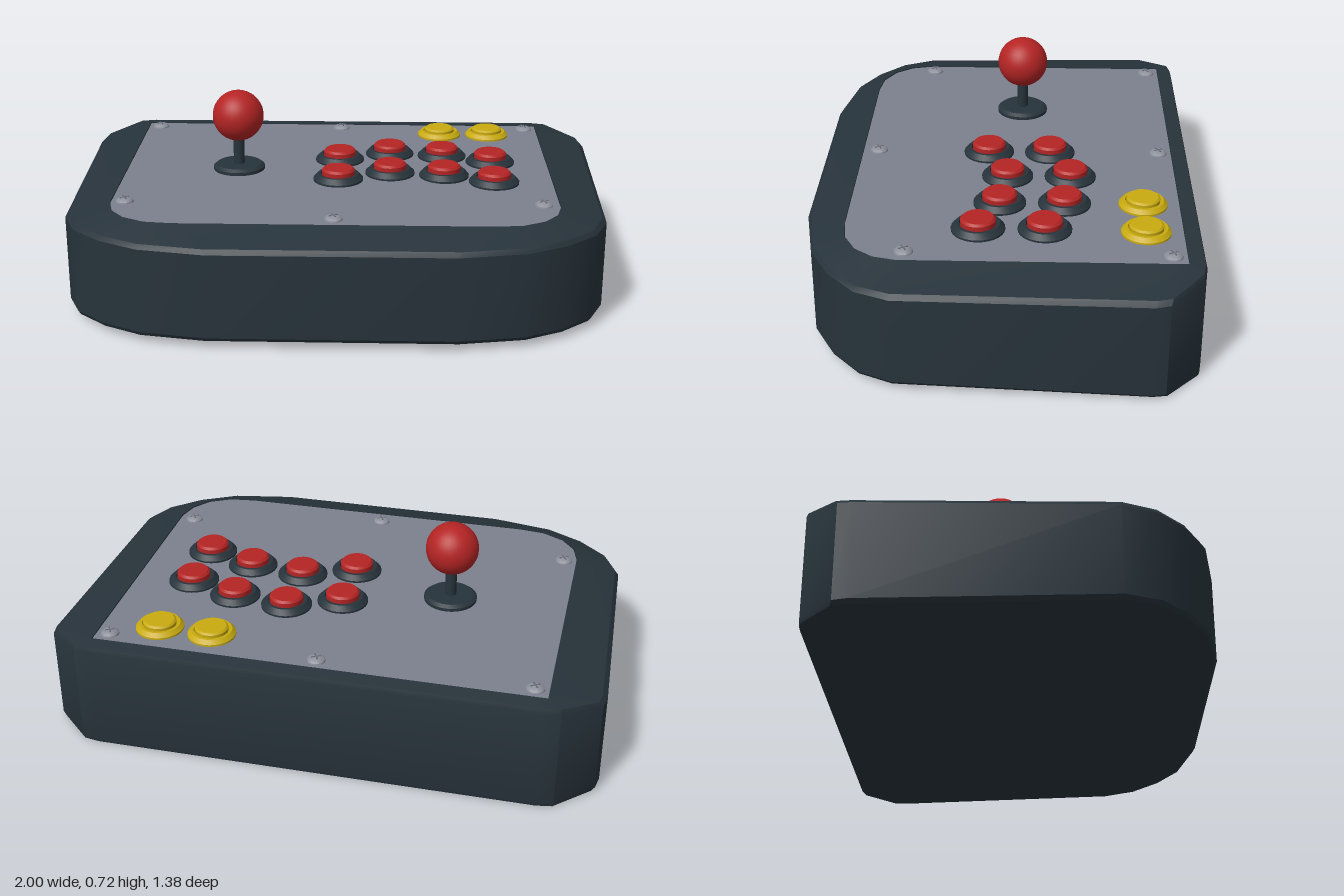
import * as THREE from 'three';
import { toCreasedNormals } from 'three/addons/utils/BufferGeometryUtils.js';

const mat = (name, color) => {
  const m = new THREE.MeshStandardMaterial({ color });
  m.name = name;
  return m;
};

// Half outlines from back to front: [x, z, wall height] and the matching plate edge
const OUTER = [[0.8, -0.69, 0.4], [0.86, -0.68, 0.398], [0.99, -0.56, 0.375], [1, -0.51, 0.372], [0.973, 0.35, 0.368],
  [0.92, 0.47, 0.366], [0.81, 0.57, 0.366], [0.67, 0.645, 0.366], [0.43, 0.69, 0.366]];
const INNER = [[0.79, -0.63], [0.808, -0.63], [0.81, -0.628], [0.81, -0.6], [0.81, 0.34],
  [0.79, 0.42], [0.74, 0.485], [0.66, 0.528], [0.56, 0.54]];
const mirrored = (half) => [...half, ...half.slice().reverse().map(([x, ...rest]) => [-x, ...rest])];

// Closed solid from stacked rings of equal length, capped at both ends
function loft(rings) {
  const n = rings[0].length, pos = rings.flat(2), index = [];
  for (let k = 0; k < rings.length - 1; k++) {
    for (let i = 0; i < n; i++) {
      const a = k * n + i, b = k * n + (i + 1) % n;
      index.push(b, a, a + n, b, a + n, b + n);
    }
  }
  const top = (rings.length - 1) * n;
  for (let i = 1; i < n - 1; i++) {
    index.push(0, i, i + 1, top, top + i + 1, top + i);
  }
  const g = new THREE.BufferGeometry();
  g.setAttribute('position', new THREE.Float32BufferAttribute(pos, 3));
  g.setIndex(index);
  return toCreasedNormals(g, 0.45);
}

// Turned part with crisp shoulders
function turned(points, segments = 28) {
  const g = new THREE.LatheGeometry(points.map(([r, y]) => new THREE.Vector2(r, y)), segments);
  g.deleteAttribute('normal');
  return toCreasedNormals(g, 0.5);
}

export function createModel() {
  const model = new THREE.Group();
  model.name = 'arcadeStick';
  const dark = mat('charcoal', 0x27333b), grey = mat('plateGrey', 0x7c808e), red = mat('red', 0xb52424);
  const yellow = mat('yellow', 0xc9ab10), steel = mat('screwSteel', 0x8b8f99), slot = mat('slotGrey', 0x666a75);
  const add = (name, geometry, material, x = 0, y = 0, z = 0, parent = model) => {
    const m = new THREE.Mesh(geometry, material);
    m.name = name;
    m.position.set(x, y, z);
    parent.add(m);
    return m;
  };

  // Case: sloping underside, upright walls, rim rising to a shallow plate recess
  const outer = mirrored(OUTER), inner = mirrored(INNER);
  const floor = (z) => Math.max(0, 0.015 + 0.0217 * z);
  const ring = (t, height) => outer.map(([ox, oz, wall], i) => {
    const x = THREE.MathUtils.lerp(ox, inner[i][0], t), z = THREE.MathUtils.lerp(oz, inner[i][1], t);
    return [x, height(z, wall), z];
  });
  add('case', loft([
    ring(0.07, (z) => floor(z)),
    ring(0, (z) => floor(z) + 0.014),
    ring(0, (z, wall) => wall - 0.012),
    ring(0.09, (z, wall) => wall + 0.005),
    ring(1, () => 0.411),
    ring(1, () => 0.4),
  ]), dark);

  // Top plate
  const shape = new THREE.Shape(inner.map(([x, z]) => new THREE.Vector2(x * 0.998, -z * 0.998)));
  const plate = new THREE.ExtrudeGeometry(shape, { depth: 0.008, bevelEnabled: false });
  plate.rotateX(-Math.PI / 2);
  add('topPlate', plate, grey, 0, 0.4, 0);

  // Joystick
  const stick = new THREE.Group();
  stick.name = 'joystick';
  stick.position.set(-0.38, 0.405, -0.06);
  model.add(stick);
  add('dustWasher', turned([[0.098, 0], [0.098, 0.015], [0.085, 0.025], [0, 0.025]], 32), dark, 0, 0, 0, stick);
  add('shaft', new THREE.CylinderGeometry(0.021, 0.021, 0.17, 16), dark, 0, 0.085, 0, stick);
  add('ballTop', new THREE.SphereGeometry(0.097, 32, 20), red, 0, 0.215, 0, stick);

  // Eight action buttons in two curved rows
  const collar = turned([[0.094, 0], [0.094, 0.01], [0.077, 0.028], [0.066, 0.028], [0.064, 0.02], [0, 0.02]]);
  const cap = turned([[0.062, 0], [0.062, 0.042], [0.054, 0.05], [0, 0.05]]);
  const columns = [[0.005, -0.17], [0.2, -0.245], [0.405, -0.222], [0.59, -0.153]];
  for (const shift of [0, 0.23]) {
    for (const [x, z] of columns) {
      add('buttonCollar', collar, dark, x, 0.405, z + shift);
      add('buttonCap', cap, red, x, 0.405, z + shift);
    }
  }

  // Two yellow menu buttons
  const menu = turned([[0.087, 0], [0.087, 0.01], [0.074, 0.024], [0.064, 0.024],
    [0.062, 0.018], [0.06, 0.018], [0.06, 0.032], [0.053, 0.038], [0, 0.038]]);
  for (const x of [0.405, 0.6]) add('menuButton', menu, yellow, x, 0.405, -0.5);

  // Domed cross-head screws
  const dome = turned([[0.034, 0], [0.032, 0.008], [0.025, 0.015], [0.013, 0.019], [0, 0.02]], 20);
  const bar = new THREE.BoxGeometry(0.034, 0.004, 0.005);
  for (const [x, z] of [[-0.76, -0.58], [0, -0.58], [0.76, -0.58], [-0.76, 0.32], [0.75, 0.32], [0, 0.48]]) {
    add('screwHead', dome, steel, x, 0.405, z);
    for (const turn of [0.5, 0.5 + Math.PI / 2]) {
      add('screwSlot', bar, slot, x, 0.4235, z).rotation.y = turn;
    }
  }
  return model;
}
